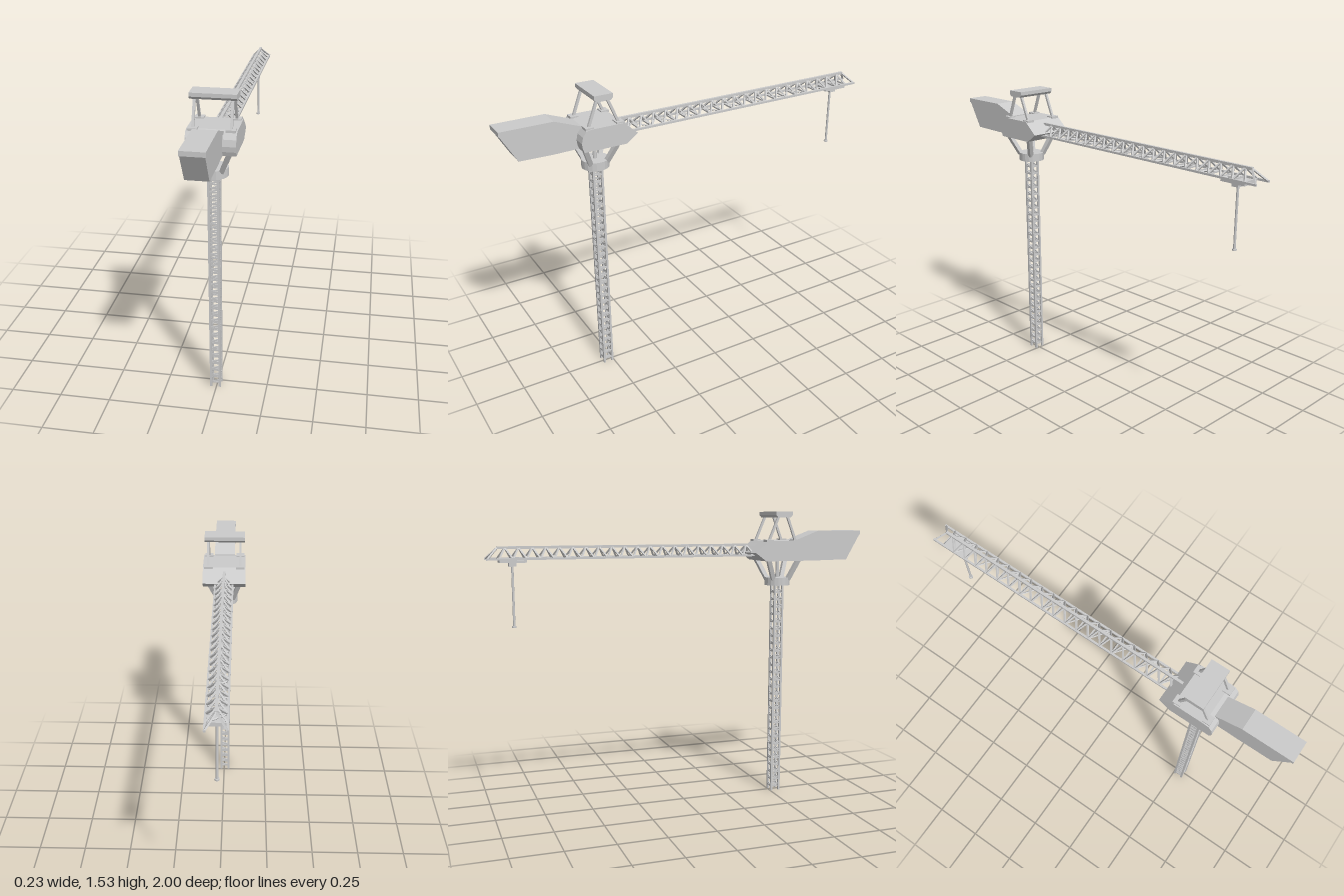
import * as THREE from 'three';
import { mergeGeometries } from 'three/addons/utils/BufferGeometryUtils.js';

const material = new THREE.MeshStandardMaterial({ color: 0xcccccc, flatShading: true });
const TX = -0.005, TZ = 0.53; // tower axis

function addMesh(parent, name, geometry) {
  const mesh = new THREE.Mesh(geometry, material);
  mesh.name = name;
  parent.add(mesh);
  return mesh;
}

// Straight square or round bar between two points
function bar(a, b, w, sides = 4, d = w) {
  const p = new THREE.Vector3(...a), q = new THREE.Vector3(...b);
  const dir = q.clone().sub(p), len = dir.length();
  const g = sides === 4 ? new THREE.BoxGeometry(w, len, d)
    : new THREE.CylinderGeometry(w / 2, w / 2, len, sides);
  g.applyQuaternion(new THREE.Quaternion().setFromUnitVectors(new THREE.Vector3(0, 1, 0), dir.normalize()));
  const m = p.add(q).multiplyScalar(0.5);
  return g.translate(m.x, m.y, m.z);
}

function box(w, h, d, x, y, z) {
  return new THREE.BoxGeometry(w, h, d).translate(x, y, z);
}

// Side profile in (z, y), extruded across x
function sideExtrude(points, width, x = 0) {
  const shape = new THREE.Shape(points.map(([z, y]) => new THREE.Vector2(z, y)));
  return new THREE.ExtrudeGeometry(shape, { depth: width, bevelEnabled: false })
    .translate(0, 0, -width / 2).rotateY(-Math.PI / 2).translate(x, 0, 0);
}

function buildTower() {
  const group = new THREE.Group();
  group.name = 'tower';
  const r = 0.022, top = 1.15, step = 0.04;
  const legs = [], rungs = [];
  for (const sx of [-1, 1]) for (const sz of [-1, 1]) {
    legs.push(bar([TX + sx * r, 0, TZ + sz * r], [TX + sx * r, top, TZ + sz * r], 0.011));
  }
  // Rungs with a shallow lacing bar on each of the four faces
  for (let y = 0.025; y < top - 0.02; y += step) {
    for (const s of [-1, 1]) {
      rungs.push(bar([TX - r, y, TZ + s * r], [TX + r, y, TZ + s * r], 0.007));
      rungs.push(bar([TX + s * r, y, TZ - r], [TX + s * r, y, TZ + r], 0.007));
      rungs.push(bar([TX - r, y, TZ + s * r], [TX + r, y + 0.014, TZ + s * r], 0.006));
      rungs.push(bar([TX + s * r, y, TZ - r], [TX + s * r, y + 0.014, TZ + r], 0.006));
    }
  }
  addMesh(group, 'towerLegs', mergeGeometries(legs));
  addMesh(group, 'towerRungs', mergeGeometries(rungs));
  return group;
}

function buildTurntable() {
  const group = new THREE.Group();
  group.name = 'turntable';
  addMesh(group, 'collar', new THREE.CylinderGeometry(0.067, 0.067, 0.042, 20).translate(TX, 1.164, TZ));
  addMesh(group, 'centrePost', new THREE.CylinderGeometry(0.01, 0.01, 0.12, 10).translate(TX, 1.235, TZ));
  const struts = [];
  for (const sx of [-1, 1]) for (const sz of [-1, 1]) {
    struts.push(bar([TX + sx * 0.042, 1.175, TZ + sz * 0.042], [sx * 0.082, 1.285, TZ + sz * 0.088], 0.022));
  }
  addMesh(group, 'supportStruts', mergeGeometries(struts));
  return group;
}

function buildCabin() {
  const group = new THREE.Group();
  group.name = 'cabin';
  // Housing with a gently bulged front and wedge-shaped rear
  addMesh(group, 'housing', sideExtrude([
    [0.63, 1.275], [0.637, 1.295], [0.64, 1.32], [0.633, 1.35], [0.615, 1.375], [0.59, 1.38],
    [0.43, 1.38], [0.358, 1.318], [0.417, 1.275]], 0.226));
  // Roof frame: leaning posts on pads carrying a beam
  const posts = [], pads = [];
  for (const sx of [-1, 1]) {
    for (const [z0, z1] of [[0.595, 0.545], [0.44, 0.495]]) {
      posts.push(bar([sx * 0.085, 1.375, z0], [sx * 0.085, 1.505, z1], 0.012));
      pads.push(box(0.044, 0.012, 0.04, sx * 0.085, 1.38, z0));
    }
  }
  addMesh(group, 'roofPosts', mergeGeometries(posts));
  addMesh(group, 'roofPads', mergeGeometries(pads));
  addMesh(group, 'roofBeam', sideExtrude([
    [0.555, 1.5], [0.565, 1.512], [0.565, 1.53], [0.472, 1.53], [0.472, 1.512], [0.482, 1.5]], 0.212, -0.001));
  return group;
}

function buildCounterweight() {
  const group = new THREE.Group();
  group.name = 'counterweight';
  addMesh(group, 'counterweightBody', sideExtrude([
    [0.6, 1.275], [0.743, 1.272], [0.92, 1.275], [0.996, 1.407], [0.996, 1.42],
    [0.743, 1.42], [0.62, 1.37], [0.6, 1.37]], 0.104));
  addMesh(group, 'counterweightLid', sideExtrude([
    [1, 1.408], [1, 1.43], [0.743, 1.43], [0.61, 1.38], [0.61, 1.365], [0.743, 1.408]], 0.11));
  return group;
}

function buildJib() {
  const group = new THREE.Group();
  group.name = 'jib';
  const w = 0.046, low = 1.305, high = 1.358, start = 0.38, panels = 20, step = 0.066;
  const chords = [bar([0, high, 0.41], [0, high, -0.945], 0.013)];
  const lacing = [];
  for (const s of [-1, 1]) {
    chords.push(bar([s * w, low, start], [s * w, low, -1], 0.01));
    chords.push(bar([0, high, -0.942], [s * w, low, -0.995], 0.008));
  }
  // Triangular truss panels
  for (let i = 0; i < panels; i++) {
    const z = start - i * step, mid = z - step / 2, end = z - step;
    for (const s of [-1, 1]) {
      lacing.push(bar([s * w, low, z], [0, high, mid], 0.008));
      lacing.push(bar([0, high, mid], [s * w, low, end], 0.008));
    }
    lacing.push(bar([-w, low, z], [w, low, z], 0.007));
    const s = i % 2 ? 1 : -1;
    lacing.push(bar([-s * w, low, z], [s * w, low, end], 0.006));
  }
  lacing.push(bar([-w, low, -0.94], [w, low, -0.94], 0.008));
  addMesh(group, 'jibChords', mergeGeometries(chords));
  addMesh(group, 'jibLacing', mergeGeometries(lacing));
  return group;
}

function buildTrolley() {
  const group = new THREE.Group();
  group.name = 'trolley';
  const z = -0.873;
  addMesh(group, 'trolleyPlate', box(0.085, 0.012, 0.13, 0, 1.293, z));
  addMesh(group, 'trolleyBlock', box(0.045, 0.02, 0.035, 0, 1.278, z));
  addMesh(group, 'hoistRod', new THREE.CylinderGeometry(0.006, 0.006, 0.3, 10).translate(0, 1.123, z));
  addMesh(group, 'hoistFoot', new THREE.CylinderGeometry(0.011, 0.011, 0.008, 12).translate(0, 0.975, z));
  return group;
}

export function createModel() {
  const model = new THREE.Group();
  model.name = 'towerCrane';
  model.add(buildTower(), buildTurntable(), buildCabin(), buildCounterweight(), buildJib(), buildTrolley());
  return model;
}
